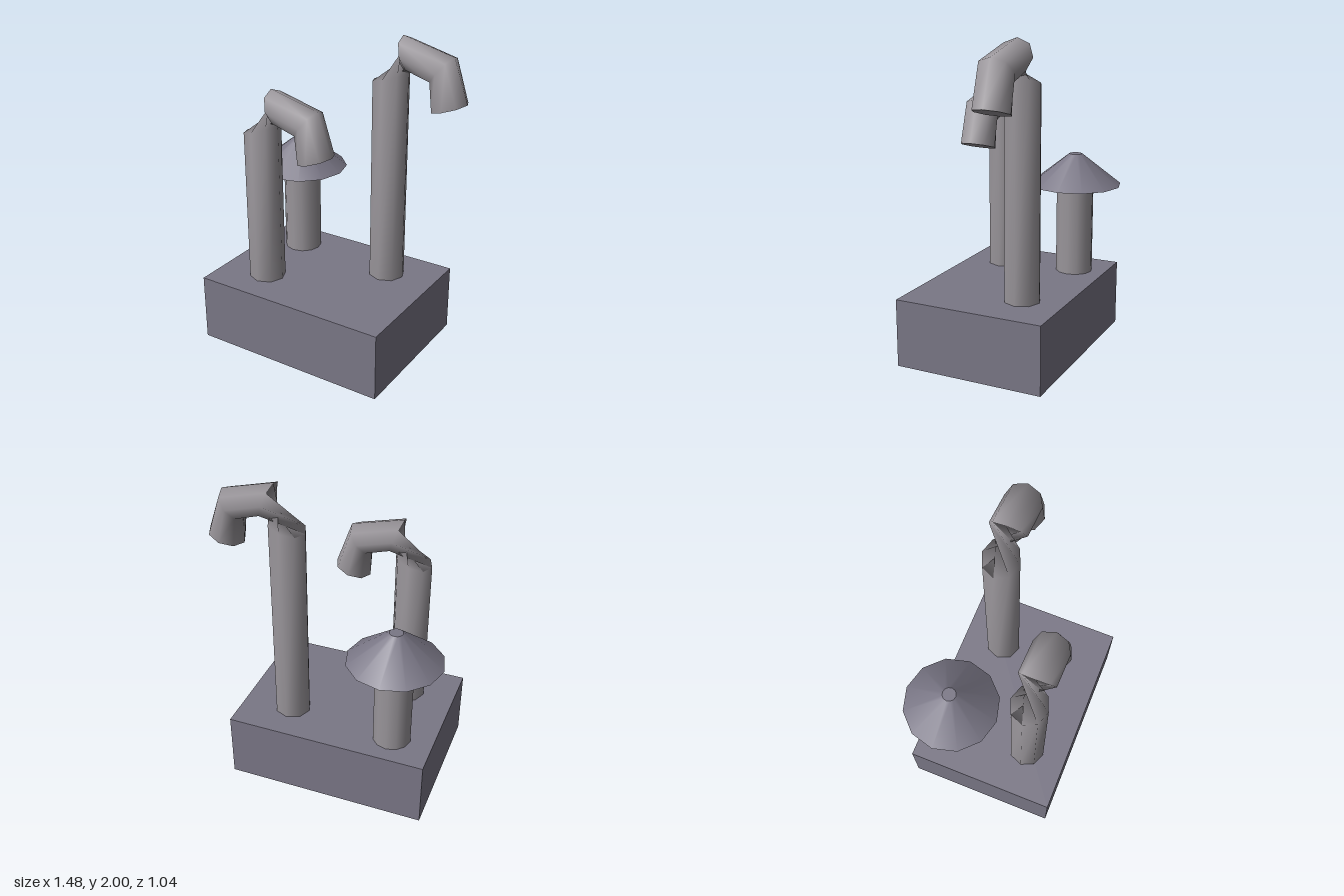
import * as THREE from 'three';

const SIDES = 8, RADIUS = 0.114;

// Pipe cross-sections relative to the pipe's foot: centre, outward vector (x, y), twist steps.
const rings = [
  { c: [0, 0.43], u: [-0.114, 0], twist: 0 },
  { c: [0, 1.427], u: [-0.114, -0.033], twist: 0 },
  { c: [0.108, 1.575], u: [-0.036, 0.105], twist: 4 }, // half turn pinches the neck
  { c: [0.335, 1.512], u: [0.065, 0.083], twist: 4 },
  { c: [0.385, 1.298], u: [0.109, 0.033], twist: 4 },
];

function ringPoints({ c, u, twist }, lift) {
  const points = [];
  for (let k = 0; k < SIDES; k++) {
    const a = ((k + twist) / SIDES) * Math.PI * 2;
    points.push(c[0] + u[0] * Math.cos(a), c[1] + u[1] * Math.cos(a) + lift, RADIUS * Math.sin(a));
  }
  return points;
}

function makeGeometry(positions, index) {
  const g = new THREE.BufferGeometry();
  g.setAttribute('position', new THREE.Float32BufferAttribute(positions, 3));
  g.setIndex(index);
  g.computeVertexNormals();
  return g;
}

// Bent chimney pipe; only the rings above the foot rise with "lift".
function bentPipe(name, x, z, lift, material) {
  const group = new THREE.Group();
  group.name = name;
  const positions = [], index = [];
  rings.forEach((ring, i) => {
    positions.push(...ringPoints(ring, i ? lift : 0));
    if (!i) return;
    for (let k = 0; k < SIDES; k++) {
      const n = (k + 1) % SIDES, a = (i - 1) * SIDES, b = i * SIDES;
      index.push(a + k, a + n, b + n, a + k, b + n, b + k);
    }
  });
  const tube = new THREE.Mesh(makeGeometry(positions, index), material);
  tube.name = 'pipeTube';

  // Flat closing face at the nozzle
  const fan = [];
  for (let k = 1; k < SIDES - 1; k++) fan.push(0, k, k + 1);
  const end = new THREE.Mesh(makeGeometry(ringPoints(rings[rings.length - 1], lift), fan), material);
  end.name = 'nozzleFace';

  group.add(tube, end);
  group.position.set(x, 0, z);
  return group;
}

export function createModel() {
  const model = new THREE.Group();
  model.name = 'rooftopVents';

  const slate = new THREE.MeshStandardMaterial({ color: 0x7a7786 });
  slate.name = 'slate grey';
  const metal = new THREE.MeshStandardMaterial({ color: 0x99959a, side: THREE.DoubleSide });
  metal.name = 'pipe grey';

  const add = (name, geometry, material, x, y, z) => {
    const mesh = new THREE.Mesh(geometry, material);
    mesh.name = name;
    mesh.position.set(x, y, z);
    model.add(mesh);
  };

  // Plinth
  add('base', new THREE.BoxGeometry(1.275, 0.43, 0.957), slate, -0.072, 0.215, 0.042);

  // Straight vent with a conical rain cap
  add('ventPipe', new THREE.CylinderGeometry(0.12, 0.12, 0.6, 12), metal, -0.447, 0.725, -0.225);
  add('rainCap', new THREE.CylinderGeometry(0.042, 0.296, 0.2, 12), slate, -0.447, 1.115, -0.225);

  // Two bent pipes
  model.add(bentPipe('frontBentPipe', -0.395, 0.255, 0, metal));
  model.add(bentPipe('tallBentPipe', 0.242, -0.17, 0.316, metal));
  return model;
}
